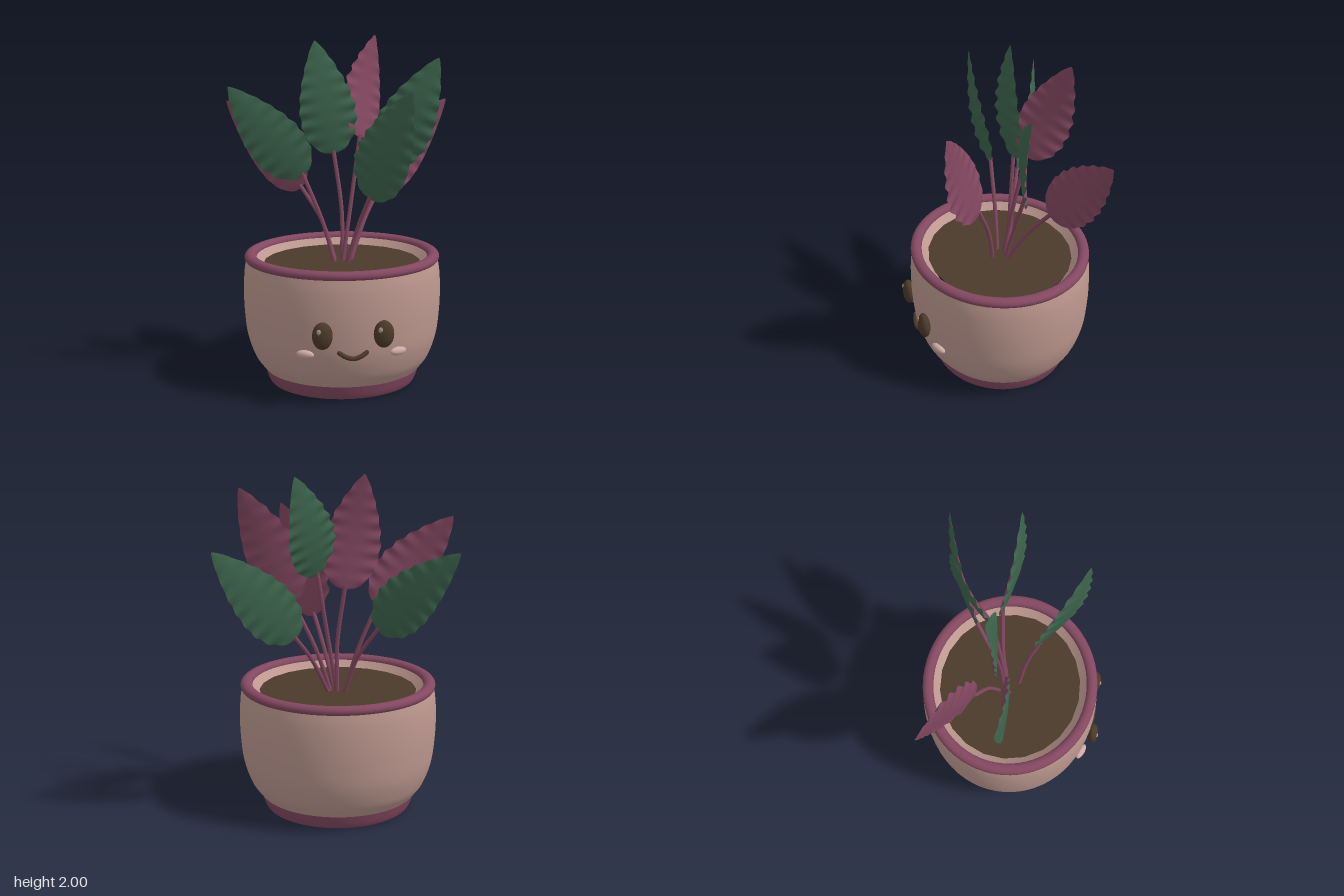
import * as THREE from 'three';

const mat = (name, color) => {
  const m = new THREE.MeshStandardMaterial({ color });
  m.name = name;
  return m;
};
const V = (x, y, z) => new THREE.Vector3(x, y, z);

export function createModel() {
  const clay = mat('clay pink', 0xbe9990);
  const plum = mat('plum', 0x834860);
  const green = mat('leaf green', 0x3c644c);
  const brown = mat('soil brown', 0x4b3a2a);
  const blush = mat('blush', 0xd0aba5);
  const glint = mat('eye glint', 0xa08f80);

  const model = new THREE.Group();
  model.name = 'pottedPlant';
  const add = (parent, name, geometry, material, x = 0, y = 0, z = 0) => {
    const mesh = new THREE.Mesh(geometry, material);
    mesh.name = name;
    mesh.position.set(x, y, z);
    parent.add(mesh);
    return mesh;
  };

  // Pot: slightly oval, turned from smooth profiles
  const pot = new THREE.Group();
  pot.name = 'pot';
  pot.position.set(-0.02, 0, -0.02);
  pot.scale.z = 0.92;
  model.add(pot);
  const turned = (pairs, steps) => new THREE.LatheGeometry(
    new THREE.SplineCurve(pairs.map(([r, y]) => new THREE.Vector2(r, y))).getPoints(steps), 64);

  add(pot, 'potFoot', turned([[0.12, 0.12], [0.135, 0.06], [0.19, 0.015], [0.28, 0],
    [0.4, 0], [0.43, 0.015], [0.455, 0.085]], 30), plum);
  add(pot, 'potBody', turned([[0.455, 0.085], [0.475, 0.11], [0.515, 0.17], [0.555, 0.29],
    [0.571, 0.43], [0.575, 0.55], [0.57, 0.66], [0.558, 0.735]], 30), clay);
  add(pot, 'potInnerWall', turned([[0.51, 0.76], [0.485, 0.73], [0.44, 0.68]], 8), clay);
  const rim = add(pot, 'potRim', new THREE.TorusGeometry(0.533, 0.035, 16, 64), plum, 0, 0.748, 0);
  rim.rotation.x = Math.PI / 2;
  rim.scale.z = 0.8;
  const soil = add(pot, 'soil', new THREE.CircleGeometry(0.458, 22), brown, 0, 0.71, 0);
  soil.rotation.x = -Math.PI / 2;
  const drain = add(pot, 'drainHole', new THREE.CircleGeometry(0.13, 24), clay, 0, 0.11, 0);
  drain.rotation.x = Math.PI / 2;

  // Face
  const face = new THREE.Group();
  face.name = 'face';
  model.add(face);
  const ball = new THREE.SphereGeometry(1, 28, 18);
  for (const side of [-1, 1]) {
    const label = side > 0 ? 'left' : 'right';
    const cx = -0.02 + side * 0.17;
    add(face, label + 'Eye', ball, brown, cx, 0.425, 0.503).scale.set(0.057, 0.078, 0.035);
    add(face, label + 'EyeGlint', ball, glint, cx - 0.022, 0.455, 0.53).scale.set(0.013, 0.016, 0.008);
    const cheek = add(face, label + 'Cheek', ball, blush, -0.02 + side * 0.26, 0.305, 0.445);
    cheek.scale.set(0.052, 0.024, 0.022);
    cheek.rotation.y = side * 0.45;
  }
  const smile = new THREE.CatmullRomCurve3([V(-0.095, 0.32, 0.492), V(-0.065, 0.302, 0.502),
    V(-0.018, 0.29, 0.507), V(0.027, 0.302, 0.502), V(0.057, 0.32, 0.492)]);
  add(face, 'mouth', new THREE.TubeGeometry(smile, 24, 0.013, 10), brown);
  for (const end of [0, 1]) {
    add(face, 'mouthEnd', ball, brown, ...smile.getPoint(end).toArray()).scale.setScalar(0.013);
  }

  // One face of a leaf: s = 1 is the green front, s = -1 the plum back
  const leafFace = (base, tip, facing, half, s) => {
    const along = tip.clone().sub(base);
    const d = along.clone().normalize();
    const n = facing.clone().addScaledVector(d, -facing.dot(d)).normalize();
    const across = d.clone().cross(n);
    const g = new THREE.PlaneGeometry(2, 1, 10, 64);
    const p = g.attributes.position;
    for (let i = 0; i < p.count; i++) {
      const u = p.getY(i) + 0.5;
      const v = p.getX(i) * s;
      const wave = Math.sin(u * Math.PI * 16);
      const outline = Math.pow(Math.max(0, Math.sin(Math.PI * Math.pow(u, 0.65))), 0.8);
      const width = half * outline * (1 + 0.035 * wave * v * v);
      const lift = 0.03 * Math.sin(Math.PI * u)
        + 0.008 * wave * v * v * outline
        + s * 0.016 * outline * (1 - v * v);
      const q = base.clone().addScaledVector(along, u)
        .addScaledVector(across, v * width).addScaledVector(n, lift);
      p.setXYZ(i, q.x, q.y, q.z);
    }
    g.computeVertexNormals();
    return g;
  };

  // Leaves: base, tip, direction of the green side, half width, stem root, stem bend
  const leaves = [
    [V(-0.235, 1.22, -0.04), V(-0.665, 1.735, -0.045), V(-0.07, 0, 1), 0.158, V(-0.06, 0.69, -0.02), V(-0.13, 0.94, -0.03)],
    [V(-0.235, 1.12, -0.2), V(-0.665, 1.61, -0.455), V(0.52, 0, -0.86), 0.155, V(-0.05, 0.69, -0.08), V(-0.13, 0.94, -0.14)],
    [V(-0.055, 1.33, -0.115), V(-0.165, 1.985, -0.13), V(0.09, 0, 1), 0.163, V(-0.015, 0.69, -0.06), V(-0.015, 1.0, -0.08)],
    [V(0.095, 1.42, -0.13), V(0.215, 2.0, -0.34), V(-0.58, 0, -0.81), 0.155, V(-0.015, 0.69, -0.04), V(0.04, 1.05, -0.08)],
    [V(0.235, 1.25, -0.085), V(0.535, 1.89, 0), V(-0.24, 0, 0.97), 0.165, V(0.02, 0.69, -0.04), V(0.1, 0.95, -0.07)],
    [V(0.115, 1.11, 0.145), V(0.315, 1.74, 0.385), V(-0.62, 0, 0.78), 0.172, V(0, 0.69, 0.03), V(0.06, 0.93, 0.075)],
    [V(0.215, 1.08, -0.235), V(0.66, 1.61, -0.41), V(-0.4, 0, -0.91), 0.158, V(0.03, 0.69, -0.05), V(0.13, 0.93, -0.15)],
  ];
  for (const [base, tip, facing, half, root, bend] of leaves) {
    const leaf = new THREE.Group();
    leaf.name = 'leaf';
    model.add(leaf);
    add(leaf, 'leafFront', leafFace(base, tip, facing, half, 1), green);
    add(leaf, 'leafBack', leafFace(base, tip, facing, half, -1), plum);
    const end = base.clone().lerp(tip, 0.03);
    add(leaf, 'stem', new THREE.TubeGeometry(
      new THREE.CatmullRomCurve3([root, bend, end]), 16, 0.012, 8), plum);
  }
  return model;
}
